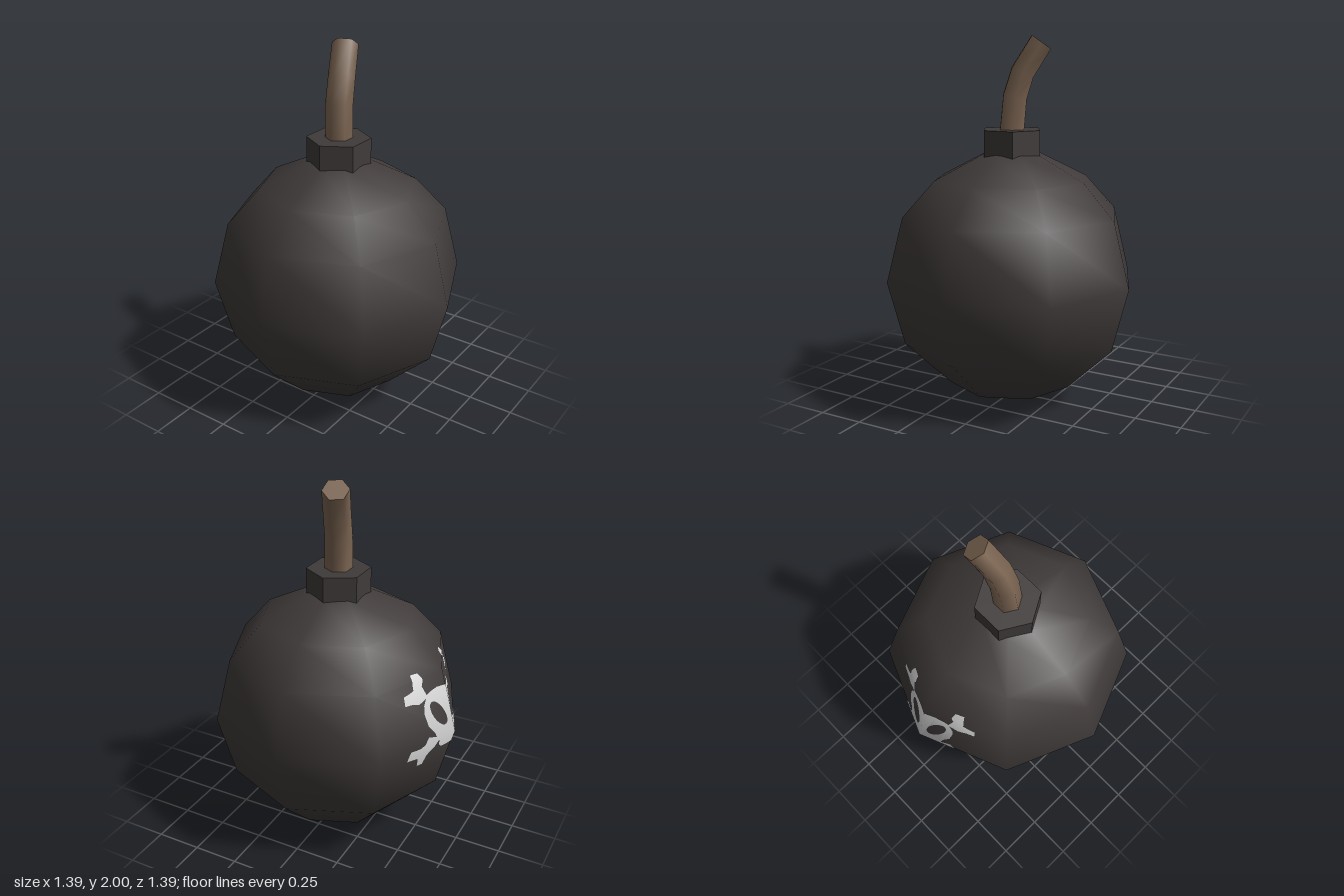
import * as THREE from 'three';

const iron = new THREE.MeshStandardMaterial({ color: 0x403b3a });
iron.name = 'dark iron';
const rope = new THREE.MeshStandardMaterial({ color: 0x7d6653 });
rope.name = 'brown rope';
const paint = new THREE.MeshStandardMaterial({ color: 0xd4d4d4 });
paint.name = 'pale paint';

// Body profile: radius and height, bottom to top
const PROFILE = [
  [0, 0.005], [0.35, 0.1], [0.605, 0.35], [0.695, 0.7],
  [0.605, 1.05], [0.43, 1.24], [0.16, 1.375], [0, 1.4],
];

function mesh(name, geometry, material) {
  const m = new THREE.Mesh(geometry, material);
  m.name = name;
  return m;
}

// Hexagonal rope: a cylinder whose rings follow a bent path
function fuseGeometry() {
  const path = [[0, 1.49, 0], [0.015, 1.68, -0.008], [0.054, 1.808, -0.02], [0.145, 1.966, -0.06]]
    .map((p) => new THREE.Vector3(...p));
  const tangents = [[0.02, 1, 0], [0.18, 1, -0.06], [0.42, 1, -0.17], [0.64, 1, -0.3]]
    .map((t) => new THREE.Vector3(...t).normalize());
  const up = new THREE.Vector3(0, 1, 0);
  const geo = new THREE.CylinderGeometry(0.07, 0.074, 3, 6, 3, false, Math.PI / 6);
  const pos = geo.attributes.position, nor = geo.attributes.normal;
  const v = new THREE.Vector3(), n = new THREE.Vector3(), q = new THREE.Quaternion();
  for (let i = 0; i < pos.count; i++) {
    const ring = Math.round(pos.getY(i) + 1.5);
    q.setFromUnitVectors(up, tangents[ring]);
    v.set(pos.getX(i), 0, pos.getZ(i)).applyQuaternion(q).add(path[ring]);
    n.fromBufferAttribute(nor, i).applyQuaternion(q);
    pos.setXYZ(i, v.x, v.y, v.z);
    nor.setXYZ(i, n.x, n.y, n.z);
  }
  return geo;
}

// Keep the part of a convex polygon where side * (y - level) >= 0
function clip(poly, level, side) {
  const out = [];
  poly.forEach((a, i) => {
    const b = poly[(i + 1) % poly.length];
    const da = side * (a.y - level), db = side * (b.y - level);
    if (da >= 0) out.push(a);
    if (da * db < 0) out.push(a.clone().lerp(b, da / (da - db)));
  });
  return out;
}

// Lay a flat half-shape (x >= 0) on the rear facets, mirrored to both sides
function emblemGeometry(shape) {
  const flat = new THREE.ShapeGeometry(shape, 10);
  const p = flat.attributes.position, index = flat.index;
  const positions = [], normals = [];
  const put = (c, mirror, r0, y0, r1, y1) => {
    const r = r0 + (r1 - r0) * (c.y - y0) / (y1 - y0);
    const z = -(r - c.x * Math.tan(Math.PI / 8)) - 0.004;
    const n = new THREE.Vector3(c.x * mirror, c.y - 0.7, z).normalize();
    positions.push(c.x * mirror, c.y, z);
    normals.push(n.x, n.y, n.z);
  };
  for (let t = 0; t < index.count; t += 3) {
    const tri = [0, 1, 2].map((k) => new THREE.Vector2(p.getX(index.getX(t + k)), p.getY(index.getX(t + k))));
    for (let b = 2; b < 5; b++) {
      const [r0, y0] = PROFILE[b], [r1, y1] = PROFILE[b + 1];
      const poly = clip(clip(tri, y0, 1), y1, -1);
      for (let k = 1; k + 1 < poly.length; k++) {
        for (const c of [poly[0], poly[k + 1], poly[k]]) put(c, 1, r0, y0, r1, y1);
        for (const c of [poly[0], poly[k], poly[k + 1]]) put(c, -1, r0, y0, r1, y1);
      }
    }
  }
  const geo = new THREE.BufferGeometry();
  geo.setAttribute('position', new THREE.Float32BufferAttribute(positions, 3));
  geo.setAttribute('normal', new THREE.Float32BufferAttribute(normals, 3));
  return geo;
}

// Half of the skull and crossed bones, with an eye socket
function skullShape() {
  const outline = [
    [0, 0.968], [0.06, 0.975], [0.11, 0.965], [0.133, 0.955],
    // upper bone
    [0.152, 1.01], [0.138, 1.04], [0.146, 1.075], [0.19, 1.078], [0.205, 1.045], [0.208, 1.005],
    [0.235, 0.998], [0.272, 0.993], [0.276, 0.942], [0.235, 0.938], [0.19, 0.922], [0.142, 0.937],
    // cheek
    [0.162, 0.905], [0.17, 0.86], [0.16, 0.79], [0.13, 0.745], [0.122, 0.715],
    // lower bone
    [0.172, 0.733], [0.2, 0.705], [0.235, 0.69], [0.3, 0.7], [0.306, 0.635], [0.228, 0.62],
    [0.216, 0.565], [0.176, 0.56], [0.164, 0.615], [0.118, 0.658],
    // jaw
    [0.105, 0.69], [0.095, 0.652], [0.075, 0.632], [0.03, 0.63], [0, 0.638],
  ];
  const shape = new THREE.Shape(outline.map(([x, y]) => new THREE.Vector2(x, y)));
  const eye = new THREE.Path();
  eye.absellipse(0.08, 0.835, 0.08, 0.036, 0, Math.PI * 2, false, 1.12);
  shape.holes.push(eye);
  return shape;
}

export function createModel() {
  const group = new THREE.Group();
  group.name = 'bomb';

  // Eight-sided round body
  const points = PROFILE.map(([r, y]) => new THREE.Vector2(r, y));
  group.add(mesh('body', new THREE.LatheGeometry(points, 8), iron));

  // Hexagonal collar
  const collarGeo = new THREE.CylinderGeometry(0.172, 0.172, 0.145, 6, 1, false, Math.PI / 6).toNonIndexed();
  collarGeo.computeVertexNormals();
  const collar = mesh('collar', collarGeo, iron);
  collar.position.y = 1.4325;
  group.add(collar);

  group.add(mesh('fuse', fuseGeometry(), rope));
  group.add(mesh('skullEmblem', emblemGeometry(skullShape()), paint));
  return group;
}
